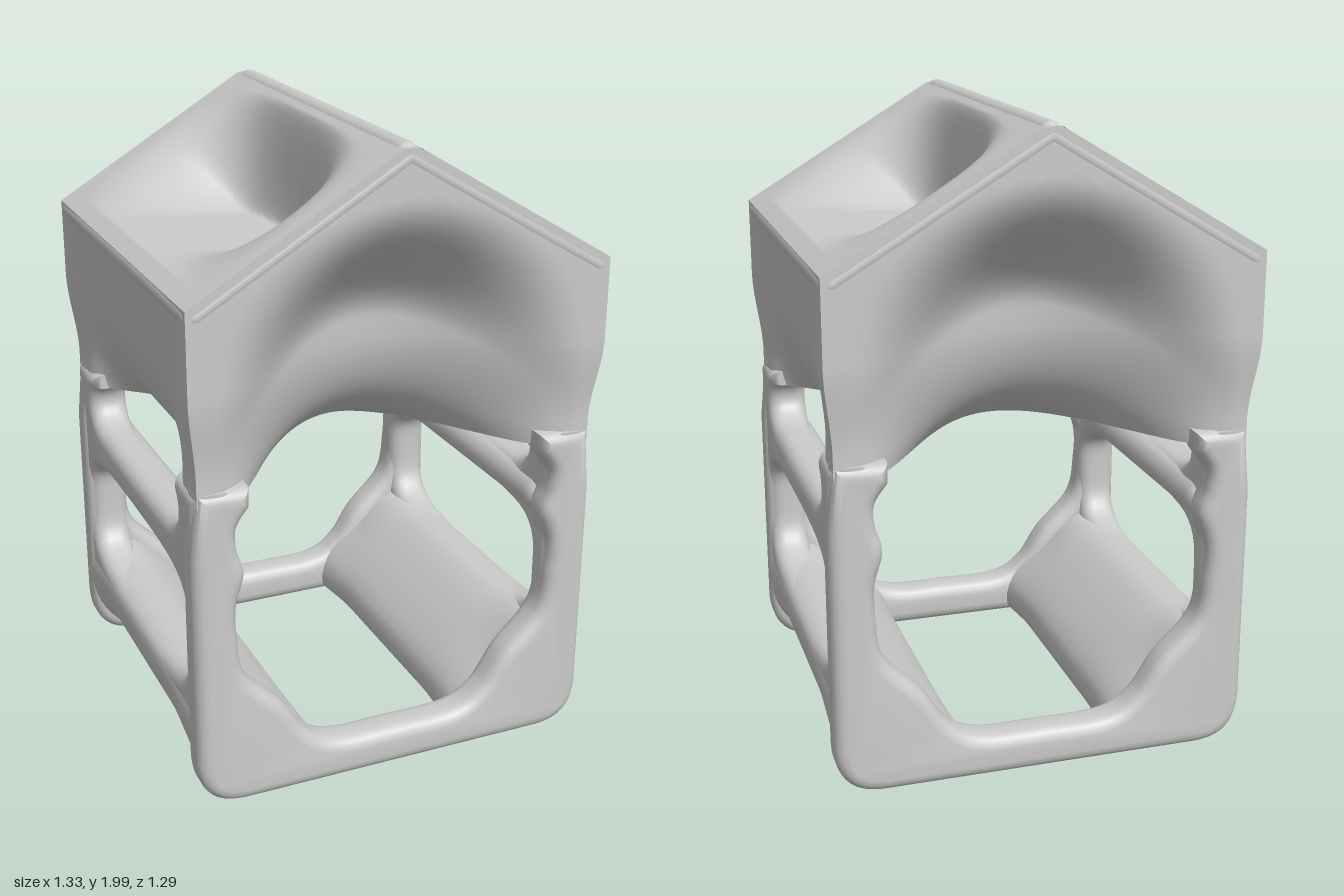
import * as THREE from 'three';
import { ParametricGeometry } from 'three/addons/geometries/ParametricGeometry.js';
import { toCreasedNormals } from 'three/addons/utils/BufferGeometryUtils.js';

const W = 0.66, D = 0.64, BASE = 1.0;
const S = THREE.MathUtils.smoothstep;
const material = new THREE.MeshStandardMaterial({ color: 0xcccccc, side: THREE.DoubleSide });
const roofY = (x) => Math.min(1.985, 2 - 0.6 * Math.abs(x));
const bump = (s) => Math.max(0, 1 - s * s) ** 1.7;
// The body narrows a little where it meets the posts
const pinch = (y) => 0.025 * (1 - S(y, 1.08, 1.35));

// Gable skin: arched hollow that rolls under almost to the middle at its lower lip
function gableZ(x, y) {
  const arch = 1.84 - 0.9 * x * x;
  const hollow = 0.28 * S(arch - y, 0, 0.42) * bump(x / 0.6);
  const lip = 0.27 * Math.exp(-(y - BASE) / 0.1) * bump(x / 0.52);
  return D - pinch(y) - hollow - lip;
}

// Side skin: almost flat, rolling under at the bottom
function sideX(y, z) {
  const t = (y - BASE) / 0.61;
  const hollow = 0.02 * Math.sin(Math.PI * t) * (1 - S(Math.abs(z), 0.4, 0.6));
  return W - pinch(y) - hollow - 0.2 * Math.exp(-t / 0.17) * (1 - S(Math.abs(z), 0.24, 0.5));
}

// Roof skin: each slope sinks to eave level, leaving a ridge fin and a rim
function roofSurfaceY(x, z) {
  const line = roofY(x);
  const r = Math.abs(z) / 0.6;
  const start = 0.05 + 0.05 * r ** 4;
  const sink = S(x, start, start + 0.08 + 0.36 * r ** 2.5) * (1 - S(Math.abs(z), 0.2, 0.6));
  return line - sink * Math.max(0, line - 1.615 - 0.02 * S(x, 0.15, 0.5));
}

// Flat cap between the lower lips of the gables and the side walls
function createUnderside() {
  const half = [];
  const n = 24, w = W - pinch(BASE), d = D - pinch(BASE);
  for (let i = 0; i < n; i++) {
    const x = w - (2 * w * i) / n;
    half.push(new THREE.Vector2(x, gableZ(x, BASE)));
  }
  for (let i = 0; i < n; i++) {
    const z = d - (2 * d * i) / n;
    half.push(new THREE.Vector2(-sideX(BASE, z), z));
  }
  const outline = [...half, ...half.map((p) => p.clone().negate())];
  return new THREE.ShapeGeometry(new THREE.Shape(outline)).rotateX(Math.PI / 2).translate(0, BASE, 0);
}

// Bevelled slab centred on its own z
function slab(shape, thickness, bevel) {
  const g = new THREE.ExtrudeGeometry(shape, {
    depth: thickness - 2 * bevel, bevelThickness: bevel, bevelSize: bevel,
    bevelOffset: -bevel, bevelSegments: 4, curveSegments: 14,
  });
  g.translate(0, 0, -(thickness - 2 * bevel) / 2);
  return toCreasedNormals(g, 0.8);
}

// U-shaped end frame: two posts and a sill with broad webs in the corners
function endFrameShape() {
  const half = [[0.475, 0.99], [0.515, 0.93], [0.515, 0.86], [0.495, 0.78], [0.52, 0.68], [0.52, 0.58], [0.495, 0.44], [0.38, 0.315], [0.3, 0.2], [0.2, 0.145]];
  const right = half.map(([x, y]) => new THREE.Vector2(x, y));
  const left = half.map(([x, y]) => new THREE.Vector2(-x, y)).reverse();
  const s = new THREE.Shape();
  s.moveTo(-0.475, 1.05);
  s.lineTo(-0.635, 1.05);
  s.lineTo(-0.655, 0.85);
  s.lineTo(-0.655, 0.17);
  s.quadraticCurveTo(-0.655, 0.01, -0.5, 0.01);
  s.lineTo(0.5, 0.01);
  s.quadraticCurveTo(0.655, 0.01, 0.655, 0.17);
  s.lineTo(0.655, 0.85);
  s.lineTo(0.635, 1.05);
  s.lineTo(0.475, 1.05);
  s.lineTo(0.475, 0.99);
  s.splineThru([...right.slice(1), new THREE.Vector2(0, 0.14), ...left]);
  s.closePath();
  return s;
}

// Side frame: post edges, a cross beam, a window below it and a slot above it
function sideFrameShape() {
  const s = new THREE.Shape();
  s.moveTo(-0.62, 0.22);
  s.lineTo(0.62, 0.22);
  s.lineTo(0.62, 1.05);
  s.lineTo(0.42, 1.05);
  s.lineTo(0.42, 1.0);
  s.bezierCurveTo(0.46, 0.97, 0.47, 0.885, 0.34, 0.872);
  s.quadraticCurveTo(0, 0.86, -0.34, 0.872);
  s.bezierCurveTo(-0.47, 0.885, -0.46, 0.97, -0.42, 1.0);
  s.lineTo(-0.42, 1.05);
  s.lineTo(-0.62, 1.05);
  s.closePath();
  const h = new THREE.Path();
  h.moveTo(0, 0.345);
  h.bezierCurveTo(0.4, 0.35, 0.5, 0.36, 0.5, 0.5);
  h.lineTo(0.5, 0.6);
  h.bezierCurveTo(0.5, 0.72, 0.42, 0.735, 0, 0.735);
  h.bezierCurveTo(-0.42, 0.735, -0.5, 0.72, -0.5, 0.6);
  h.lineTo(-0.5, 0.5);
  h.bezierCurveTo(-0.5, 0.36, -0.4, 0.35, 0, 0.345);
  s.holes.push(h);
  return s;
}

// Bottom rail: section blends from full at the ends to chamfered in the middle
function createRail() {
  const end = [[0.64, 0.33], [0.635, 0.14], [0.53, 0.03], [0.24, 0.025], [0.24, 0.12], [0.37, 0.25], [0.52, 0.38]];
  const mid = [[0.64, 0.33], [0.63, 0.19], [0.48, 0.05], [0.26, 0.03], [0.25, 0.12], [0.37, 0.26], [0.53, 0.36]];
  return new ParametricGeometry((u, v, target) => {
    const z = 0.59 * (1 - 2 * v);
    const k = S(Math.abs(z), 0.3, 0.59);
    const curve = new THREE.CatmullRomCurve3(mid.map(([x, y], i) => new THREE.Vector3(
      x + (end[i][0] - x) * k, y + (end[i][1] - y) * k, z)), true, 'centripetal');
    curve.getPoint(u, target);
  }, 42, 24);
}

// Rounded rod between two points
function rod(a, b, r) {
  const p = new THREE.Vector3(...a), q = new THREE.Vector3(...b);
  const dir = q.clone().sub(p);
  const g = new THREE.CapsuleGeometry(r, dir.length(), 4, 12);
  g.applyQuaternion(new THREE.Quaternion().setFromUnitVectors(new THREE.Vector3(0, 1, 0), dir.normalize()));
  const c = p.add(q).multiplyScalar(0.5);
  return g.translate(c.x, c.y, c.z);
}

export function createModel() {
  const model = new THREE.Group();
  const add = (name, geometry, turn = 0) => {
    const mesh = new THREE.Mesh(geometry, material);
    mesh.name = name;
    mesh.rotation.y = turn;
    model.add(mesh);
  };

  const gable = new ParametricGeometry((u, v, p) => {
    const flat = W * (2 * u - 1), y = BASE + v * v * (roofY(flat) - BASE);
    const x = flat * (1 - pinch(y) / W);
    p.set(x, y, gableZ(x, y));
  }, 64, 56);
  const slope = new ParametricGeometry((u, v, p) => {
    const z = D * (2 * u - 1), x = W * v;
    p.set(x, roofSurfaceY(x, z), z);
  }, 72, 72);
  const wall = new ParametricGeometry((u, v, p) => {
    const y = BASE + 0.604 * u * u, z = (D - pinch(y)) * (2 * v - 1);
    p.set(sideX(y, z), y, z);
  }, 36, 48);
  const endFrame = slab(endFrameShape(), 0.125, 0.04).translate(0, 0, 0.572);
  const sideFrame = slab(sideFrameShape(), 0.13, 0.045).rotateY(Math.PI / 2).translate(0.582, 0, 0);
  const beam = rod([0.55, 0.803, -0.5], [0.55, 0.803, 0.5], 0.06);
  const rail = createRail();
  const eave = rod([0.628, 1.58, -0.605], [0.628, 1.58, 0.605], 0.036);

  // Every part repeats half a turn around the vertical axis
  [['front', 'left', 0], ['back', 'right', Math.PI]].forEach(([end, side, turn]) => {
    add(`${end}Gable`, gable, turn);
    add(`${end}Frame`, endFrame, turn);
    add(`${side}RoofSlope`, slope, turn);
    add(`${side}Wall`, wall, turn);
    add(`${side}SideFrame`, sideFrame, turn);
    add(`${side}Beam`, beam, turn);
    add(`${side}BottomRail`, rail, turn);
    add(`${side}Eave`, eave, turn);
    for (const m of [-1, 1]) {
      add(`${end}RoofRim`, rod([0, 1.957, 0.607], [m * 0.628, 1.58, 0.607], 0.036), turn);
    }
  });
  add('ridge', rod([0, 1.962, -0.6], [0, 1.962, 0.6], 0.036));
  add('underside', createUnderside());
  return model;
}
